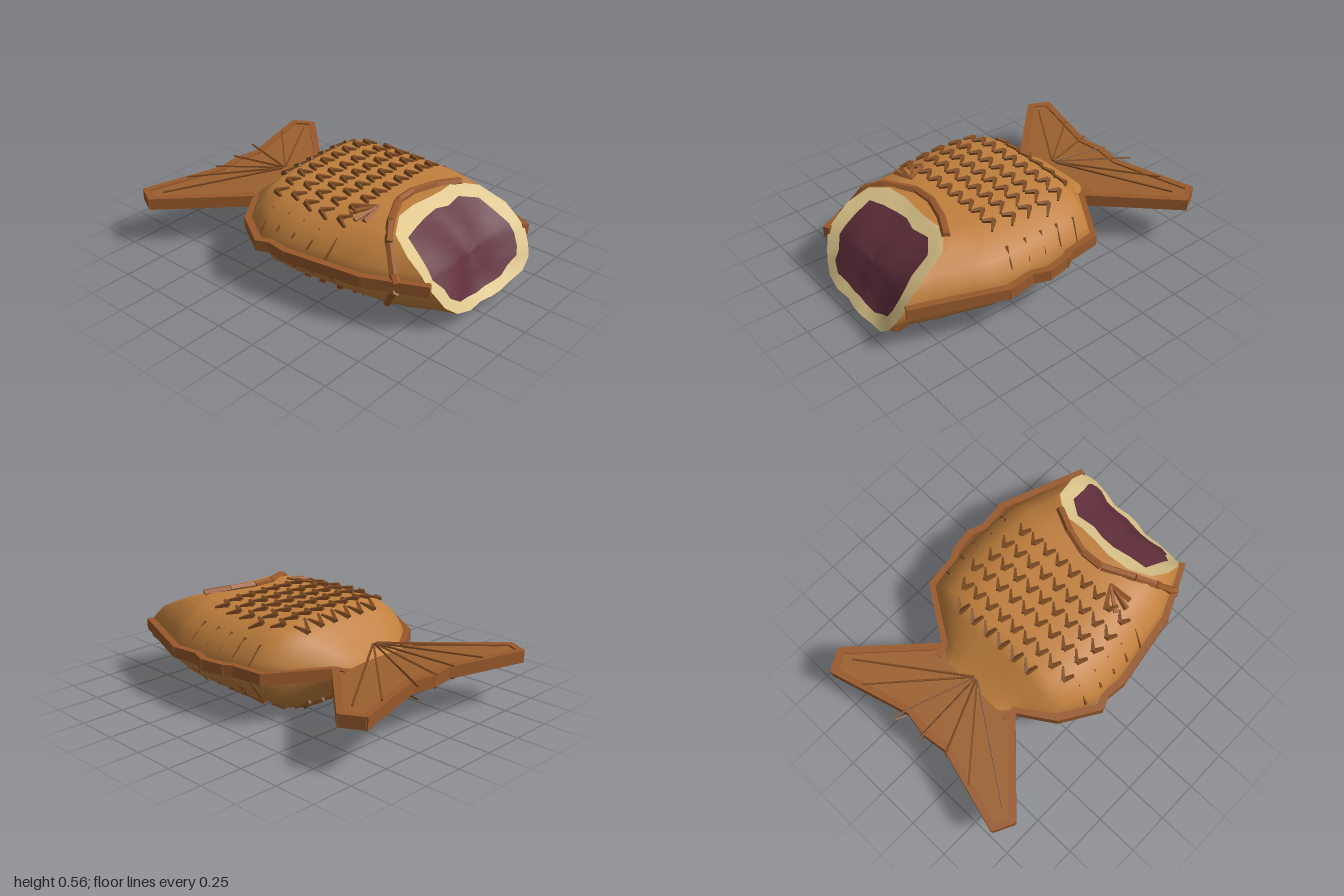
import * as THREE from 'three';
import { mergeGeometries } from 'three/addons/utils/BufferGeometryUtils.js';

const MID = 0.29; // height of the seam between the two halves

// piecewise linear lookup in [key, value] pairs
function look(table, k) {
  if (k <= table[0][0]) return table[0][1];
  for (let i = 1; i < table.length; i++) {
    const [k0, v0] = table[i - 1], [k1, v1] = table[i];
    if (k <= k1) return v0 + (v1 - v0) * (k - k0) / (k1 - k0);
  }
  return table[table.length - 1][1];
}

const BACK = [[-0.5, -0.27], [-0.43, -0.29], [-0.22, -0.6], [0.02, -0.64], [0.4, -0.65], [0.93, -0.47]];
const BELLY = [[-0.5, 0.25], [-0.43, 0.27], [-0.3, 0.46], [-0.08, 0.57], [0.1, 0.57], [0.56, 0.5], [0.92, 0.34]];
const HEIGHT = [[-0.5, 0.04], [-0.43, 0.08], [-0.22, 0.25], [0.5, 0.25]];
const ROUND = [[0, 1], [0.45, 0.99], [0.7, 0.86], [0.87, 0.57], [1, 0.06]];
const BITE = [[0.08, 0.99], [0.2, 0.96], [0.33, 0.89], [0.42, 0.79], [0.5, 0.64], [0.54, 0.55]];

// height of the body surface over (x, z); side is 1 for top, -1 for bottom
function surface(x, z, side, lift = 0) {
  const a = look(BACK, x), b = look(BELLY, x);
  const u = Math.min(1, Math.abs((z - (a + b) / 2) / ((b - a) / 2)));
  let h = look(HEIGHT, x);
  if (side < 0) h -= Math.max(0, x - 0.7) * 0.18;
  return new THREE.Vector3(x, MID + side * (h * look(ROUND, u) + lift), z);
}

// skin between rings of equal length
function loft(rings) {
  const n = rings[0].length, pos = [], idx = [];
  rings.forEach(r => r.forEach(p => pos.push(p.x, p.y, p.z)));
  for (let i = 0; i < rings.length - 1; i++) {
    for (let j = 0; j < n; j++) {
      const a = i * n + j, b = i * n + (j + 1) % n;
      idx.push(a, b, a + n, b, b + n, a + n);
    }
  }
  const g = new THREE.BufferGeometry();
  g.setAttribute('position', new THREE.Float32BufferAttribute(pos, 3));
  g.setIndex(idx);
  g.computeVertexNormals();
  return g;
}

// straight ridge from p to q, with its own width at both ends
function ridge(p, q, r0, r1, sides = 4) {
  const d = q.clone().sub(p);
  const g = new THREE.CylinderGeometry(r1, r0, d.length(), sides).toNonIndexed();
  g.computeVertexNormals();
  g.applyQuaternion(new THREE.Quaternion().setFromUnitVectors(new THREE.Vector3(0, 1, 0), d.normalize()));
  return g.translate((p.x + q.x) / 2, (p.y + q.y) / 2, (p.z + q.z) / 2);
}

// flat strip with a rectangular section, laid along points in the seam plane
function seam(points, w, h) {
  return points.slice(1).map(([x1, z1], i) => {
    const [x0, z0] = points[i];
    const g = new THREE.BoxGeometry(Math.hypot(x1 - x0, z1 - z0) + w * 0.5, h, w);
    return g.rotateY(-Math.atan2(z1 - z0, x1 - x0)).translate((x0 + x1) / 2, MID + 0.005, (z0 + z1) / 2);
  });
}

export function createModel() {
  const group = new THREE.Group();
  const mat = (name, color) => Object.assign(new THREE.MeshStandardMaterial({ color }), { name });
  const crust = mat('golden crust', 0xc07f3d);
  const ridgeBrown = mat('baked ridge', 0x98592b);
  const tailBrown = mat('tail brown', 0x9c602f);
  const dark = mat('dark scale', 0x7e4b22);
  const cream = mat('cream dough', 0xdcc48a);
  const filling = mat('bean filling', 0x612f3b);
  const add = (name, geo, m) => {
    const mesh = new THREE.Mesh(Array.isArray(geo) ? mergeGeometries(geo) : geo, m);
    mesh.name = name;
    group.add(mesh);
    return mesh;
  };

  // body: rings along x, the last ones slanting into the bitten face
  const us = [-1, -0.94, -0.87, -0.7, -0.45, -0.2, 0, 0.2, 0.45, 0.7, 0.87, 0.94, 1];
  const loop = [...us.map(u => [u, 1]), ...us.slice(1, -1).reverse().map(u => [u, -1])];
  const biteX = (y, z) => look(BITE, y) - 0.1 * z * (y < 0.45 ? 0.6 : 0.3) - 0.01 * Math.sin(z * 23 + 1);
  const place = (x, u, s) => {
    const a = look(BACK, x), b = look(BELLY, x);
    return surface(x, (a + b) / 2 + u * (b - a) / 2, s);
  };
  const rings = [-0.5, -0.43, -0.36, -0.29, -0.22, -0.08, 0.1, 0.28, 0.45].map(x => loop.map(([u, s]) => place(x, u, s)));
  for (const t of [0.25, 0.5, 0.75, 1]) {
    rings.push(loop.map(([u, s]) => {
      const p = place(0.45 + 0.53 * t, u, s);
      const q = place(0.45 + (biteX(p.y, p.z) - 0.45) * t, u, s);
      return q;
    }));
  }
  add('body', loft(rings), crust);

  // bitten face: dough edge, then the hollowed filling
  const edge = rings[rings.length - 1];
  const bitten = s => edge.map((p, j) => {
    const k = s > 0.7 && s < 1 ? s + 0.025 * Math.sin(j * 2.3) : s;
    const y = 0.305 + (p.y - 0.305) * k, z = -0.05 + (p.z + 0.05) * k;
    const x = s === 1 ? p.x : biteX(y, z) - 0.05 * Math.min(1, (1 - k) * 3) + 0.025 * Math.sin(z * 12) * (1 - k);
    return new THREE.Vector3(x, y, z);
  });
  add('doughEdge', loft([1, 0.93, 0.8].map(bitten)), cream);
  add('filling', loft([0.8, 0.6, 0.4, 0.2, 0].map(bitten)), filling);

  // seam rim and fins round the body
  add('backRim', seam([[-0.5, -0.27], [-0.43, -0.29], [-0.22, -0.61], [-0.03, -0.63], [0.02, -0.66], [0.16, -0.685],
    [0.25, -0.65], [0.42, -0.67], [0.92, -0.48]], 0.04, 0.065), ridgeBrown);
  add('bellyRim', seam([[-0.5, 0.26], [-0.43, 0.27], [-0.3, 0.47], [-0.09, 0.6], [-0.02, 0.57], [0.1, 0.585],
    [0.56, 0.51], [0.88, 0.36]], 0.04, 0.065), ridgeBrown);

  // tail fin: a flat web with a raised border and rays
  const tail = [[-0.46, -0.3], [-0.87, -0.69], [-0.975, -0.63], [-0.84, -0.15], [-0.865, 0], [-0.845, 0.15],
    [-0.98, 0.635], [-0.88, 0.685], [-0.46, 0.27]];
  const web = new THREE.ExtrudeGeometry(new THREE.Shape(tail.map(([x, z]) => new THREE.Vector2(x, -z))),
    { depth: 0.05, bevelEnabled: false });
  add('tailWeb', web.rotateX(-Math.PI / 2).translate(0, MID - 0.02, 0), tailBrown);
  add('tailRim', seam(tail, 0.04, 0.07), ridgeBrown);
  const rays = [];
  for (const s of [1, -1]) {
    for (const [x, z] of [[-0.86, -0.6], [-0.92, -0.45], [-0.93, -0.19], [-0.9, 0], [-0.88, 0.17], [-0.91, 0.38], [-0.87, 0.6]]) {
      rays.push(ridge(new THREE.Vector3(-0.47, MID + 0.01 + s * 0.1, z * 0.03), new THREE.Vector3(x, MID + 0.01 + s * 0.035, z), 0.007, 0.006));
    }
  }
  add('tailRays', rays, dark);

  // zigzag scale rows, side dashes, gill arches and small fins on both halves
  const scales = [], gills = [], fins = [];
  const rows = [[-0.25, -0.37, 0.25], [-0.14, -0.44, 0.42], [-0.02, -0.49, 0.41], [0.09, -0.46, 0.43], [0.2, -0.46, 0.43], [0.32, -0.44, 0.42]];
  const gill = [[0.57, -0.34], [0.5, -0.2], [0.455, -0.05], [0.46, 0.08], [0.55, 0.26], [0.62, 0.36], [0.7, 0.42], [0.74, 0.44]];
  for (const s of [1, -1]) {
    rows.forEach(([x, z0, z1], r) => {
      const n = Math.round((z1 - z0) / 0.1);
      const d = (z1 - z0) / n;
      for (let i = 0; i < n; i++) {
        const z = z0 + i * d;
        const a = surface(x + 0.03, z, s, 0.005), b = surface(x - 0.025, z + d * 0.55, s, 0.012), c = surface(x + 0.035, z + d * 0.8, s, 0.012);
        scales.push(ridge(a, b, 0.007, 0.018), ridge(b, c, 0.016, 0.01));
      }
      if (r > 0) for (const z of [-0.58, 0.48]) {
        scales.push(ridge(surface(x + 0.03, z - 0.03, s), surface(x + 0.005, z + 0.05, s), 0.004, 0.01));
      }
    });
    gill.slice(1).forEach(([x, z], i) => {
      const [x0, z0] = gill[i];
      gills.push(ridge(surface(x0, z0, s, 0.004), surface(x, z, s, 0.004), 0.024, 0.024, 6));
    });
    for (const [x, z] of [[0.29, 0.27], [0.32, 0.32], [0.38, 0.35], [0.43, 0.33]]) {
      fins.push(ridge(surface(0.42, 0.19, s, 0.006), surface(x, z, s, 0.006), 0.008, 0.018));
    }
  }
  add('scales', scales, dark);
  add('gillArches', gills, ridgeBrown);
  add('sideFins', fins, ridgeBrown);

  // remaining eye on the underside of the head
  const eye = new THREE.Group();
  eye.name = 'eye';
  for (const [r, t] of [[0.1, 0.018], [0.055, 0.016]]) {
    const ring = new THREE.Mesh(new THREE.TorusGeometry(r, t, 4, 7), ridgeBrown);
    ring.name = 'eyeRing';
    eye.add(ring);
  }
  const pupil = new THREE.Mesh(new THREE.SphereGeometry(0.028, 7, 5), dark);
  pupil.name = 'pupil';
  eye.add(pupil);
  eye.position.copy(surface(0.83, -0.24, -1, 0.004));
  eye.rotation.set(Math.PI / 2 + 0.1, -0.22, 0);
  group.add(eye);

  return group;
}
